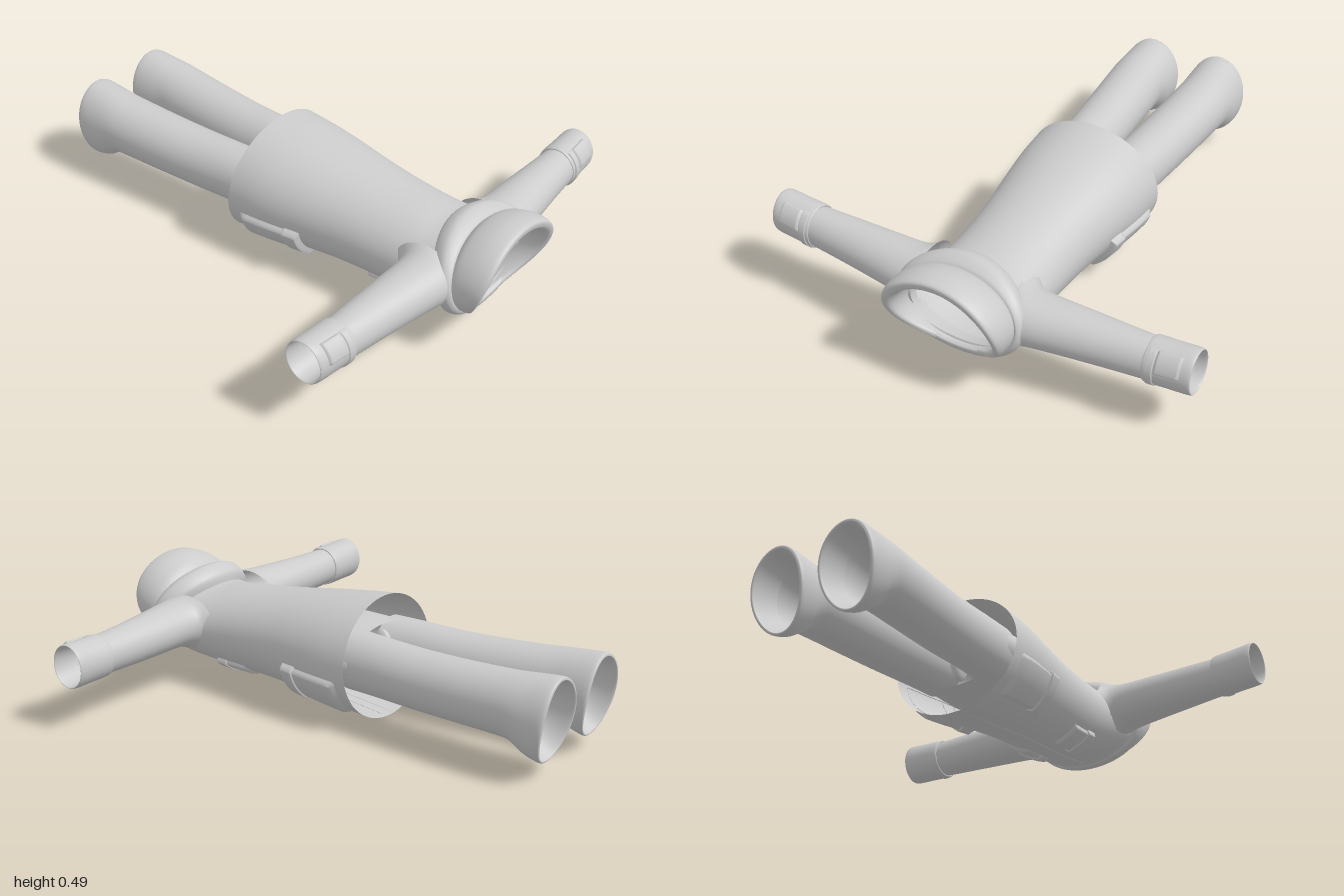
import * as THREE from 'three';

const material = new THREE.MeshStandardMaterial({ color: 0xcccccc, side: THREE.DoubleSide });

// A ring is [along at top, along at bottom, yTop, yBottom, side min, side max, bulge along at the sides].
function ringAt(rings, t) {
  const f = t * (rings.length - 1);
  const i = Math.min(Math.floor(f), rings.length - 2);
  const w = f - i;
  const at = (k) => rings[Math.max(0, Math.min(rings.length - 1, k))];
  return rings[i].map((b, n) => {
    const a = at(i - 1)[n], c = at(i + 1)[n], d = at(i + 2)[n];
    return b + 0.5 * w * (c - a + w * (2 * a - 5 * b + 4 * c - d + w * (3 * (b - c) + d - a)));
  });
}

// Point on a tube; angle 0 is the top, grow pushes it outwards.
function tubePoint(rings, t, angle, grow = 0) {
  const [aT, aB, yT, yB, sA, sB, bulge] = ringAt(rings, t);
  const c = Math.cos(angle), s = Math.sin(angle);
  return {
    along: (aT + aB) / 2 + ((aT - aB) / 2) * c + bulge * s * s,
    y: (yT + yB) / 2 + ((yT - yB) / 2 + grow) * c,
    side: (sA + sB) / 2 + ((sB - sA) / 2 + grow) * s,
  };
}
const alongZ = (p) => [p.side, p.y, p.along];
const alongX = (p) => [p.along, p.y, p.side];

// Grid mesh from a point rule; columns may wrap, and cells may be left out.
function gridMesh(name, rows, cols, wrap, point, skip = () => false) {
  const pos = [], index = [];
  const n = wrap ? cols : cols + 1;
  for (let i = 0; i <= rows; i++) for (let j = 0; j < n; j++) pos.push(...point(i / rows, j / cols));
  for (let i = 0; i < rows; i++) {
    for (let j = 0; j < cols; j++) {
      if (skip(point((i + 0.5) / rows, (j + 0.5) / cols))) continue;
      const a = i * n + j, b = i * n + ((j + 1) % n), c = a + n, d = b + n;
      index.push(a, b, c, b, d, c);
    }
  }
  const geometry = new THREE.BufferGeometry();
  geometry.setAttribute('position', new THREE.Float32BufferAttribute(pos, 3));
  geometry.setIndex(index);
  geometry.computeVertexNormals();
  const mesh = new THREE.Mesh(geometry, material);
  mesh.name = name;
  return mesh;
}

const loft = (name, rings, map = alongZ, skip) => gridMesh(name, (rings.length - 1) * 8, 64, true,
  (u, v) => map(tubePoint(rings, u, v * Math.PI * 2)), skip);

// Raised patch on a tube, falling back to the surface at its borders.
function patch(name, rings, [t0, t1], [a0, a1], height, map = alongZ) {
  const edge = (x) => Math.min(1, Math.min(x, 1 - x) * 12);
  return gridMesh(name, 24, 24, false, (u, v) => map(tubePoint(
    rings, t0 + (t1 - t0) * u, THREE.MathUtils.degToRad(a0 + (a1 - a0) * v),
    height * Math.min(edge(u), edge(v)) - 0.002)));
}

const sym = (aT, aB, yT, yB, w, bulge = 0) => [aT, aB, yT, yB, -w, w, bulge];

const torso = [
  sym(-0.13, -0.16, 0.485, 0.002, 0.285),
  sym(0.0, 0.0, 0.472, 0.02, 0.277),
  sym(0.15, 0.15, 0.453, 0.038, 0.257),
  sym(0.3, 0.3, 0.432, 0.052, 0.235),
  sym(0.45, 0.45, 0.413, 0.06, 0.223),
  sym(0.58, 0.6, 0.4, 0.066, 0.22),
  sym(0.66, 0.75, 0.39, 0.083, 0.23, 0.02),
  sym(0.71, 0.86, 0.39, 0.11, 0.235, 0.04),
];

// Rolled collar, then the upright hood with its turned-in lining
const collar = [
  sym(0.7, 0.81, 0.385, 0.1, 0.225, 0.05),
  sym(0.71, 0.83, 0.43, 0.09, 0.257, 0.05),
  sym(0.76, 0.87, 0.46, 0.1, 0.265, 0.04),
  sym(0.81, 0.88, 0.445, 0.125, 0.25, 0.03),
  sym(0.83, 0.87, 0.42, 0.135, 0.235, 0.02),
];
const hood = [
  sym(0.81, 0.85, 0.42, 0.135, 0.23, 0.02),
  sym(0.85, 0.86, 0.462, 0.115, 0.242, 0.02),
  sym(0.92, 0.87, 0.487, 0.108, 0.244, 0.03),
  sym(0.985, 0.87, 0.487, 0.11, 0.238, 0.04),
  sym(1.0, 0.87, 0.47, 0.118, 0.225, 0.045),
  sym(0.98, 0.86, 0.442, 0.128, 0.203, 0.04),
  sym(0.88, 0.83, 0.425, 0.12, 0.2, 0.03),
  sym(0.72, 0.78, 0.39, 0.1, 0.21, 0.03),
];

// Trouser leg from the crotch to the flared hem, turned in at the end
const leg = [
  [-0.08, -0.08, 0.365, 0.13, 0.0, 0.232, 0],
  [-0.2, -0.2, 0.362, 0.13, 0.014, 0.237, 0],
  [-0.4, -0.4, 0.355, 0.125, 0.02, 0.25, 0],
  [-0.6, -0.6, 0.359, 0.125, 0.029, 0.266, 0],
  [-0.76, -0.76, 0.367, 0.125, 0.036, 0.278, 0],
  [-0.84, -0.83, 0.374, 0.118, 0.04, 0.282, 0],
  [-0.91, -0.89, 0.381, 0.078, 0.034, 0.285, 0],
  [-0.985, -0.94, 0.387, 0.06, 0.032, 0.284, -0.01],
  [-1.0, -0.95, 0.38, 0.066, 0.04, 0.274, -0.015],
  [-0.985, -0.935, 0.37, 0.075, 0.05, 0.265, -0.015],
  [-0.88, -0.86, 0.362, 0.12, 0.055, 0.262, 0],
];

// One arm; rise is the lift towards the wrist.
function makeArm(side, rise) {
  const ring = (x, yT, yB, zA, zB) => {
    const lift = rise * (0.2 + x);
    return [side * x, side * x, yT + lift, yB + lift, zA, zB, 0];
  };
  const arm = new THREE.Group();
  arm.name = side > 0 ? 'leftArm' : 'rightArm';
  const sleeve = [
    ring(0.19, 0.372, 0.145, 0.59, 0.87), ring(0.225, 0.365, 0.16, 0.628, 0.87),
    ring(0.28, 0.358, 0.17, 0.64, 0.862), ring(0.4, 0.35, 0.172, 0.642, 0.842),
    ring(0.55, 0.341, 0.174, 0.645, 0.82), ring(0.72, 0.333, 0.178, 0.65, 0.8),
  ];
  const cuff = [
    ring(0.695, 0.333, 0.179, 0.651, 0.799), ring(0.7, 0.341, 0.17, 0.641, 0.808),
    ring(0.78, 0.343, 0.17, 0.639, 0.802), ring(0.855, 0.346, 0.17, 0.638, 0.795),
    ring(0.857, 0.338, 0.178, 0.646, 0.787), ring(0.76, 0.328, 0.185, 0.655, 0.79),
  ];
  arm.add(loft('sleeve', sleeve, alongX), loft('cuff', cuff, alongX));
  arm.add(patch('cuffStrap', cuff, [0.22, 0.3], [20, 160], 0.006, alongX));
  arm.add(patch('cuffTab', cuff, [0.3, 0.52], [25, 85], 0.01, alongX));
  return arm;
}

export function createModel() {
  const model = new THREE.Group();
  model.name = 'jacketAndTrousers';

  // Jacket body, collar and hood with open armholes
  const inArmhole = ([x, y, z]) => Math.abs(x) > 0.12 && z < 0.82
    && Math.hypot((z - 0.735) / 0.1, (y - 0.265) / 0.085) < 1;
  model.add(loft('jacketBody', torso, alongZ, inArmhole));
  model.add(loft('collarRoll', collar), loft('hood', hood, alongZ, inArmhole));

  // Front closure and pockets
  model.add(patch('frontPlacket', torso, [0.003, 0.95], [175, 185], 0.004));
  for (const side of [1, -1]) {
    const name = side > 0 ? 'left' : 'right';
    model.add(patch(name + 'HipPocket', torso, [0.06, 0.31], [side * 100, side * 144], 0.02));
    model.add(patch(name + 'HipPocketFlap', torso, [0.25, 0.315], [side * 98, side * 146], 0.027));
    model.add(patch(name + 'ChestPocket', torso, [0.57, 0.7], [side * 130, side * 164], 0.015));
    model.add(patch(name + 'ChestPocketFlap', torso, [0.66, 0.71], [side * 128, side * 166], 0.02));
  }

  // Arms, the right one held slightly higher
  model.add(makeArm(1, 0), makeArm(-1, 0.047));

  // Trousers
  model.add(loft('trouserHips', [
    sym(-0.12, -0.13, 0.367, 0.128, 0.236), sym(-0.03, -0.03, 0.375, 0.12, 0.24),
    sym(0.1, 0.1, 0.38, 0.11, 0.235),
  ]));
  for (const side of [1, -1]) {
    model.add(loft(side > 0 ? 'leftLeg' : 'rightLeg', leg, (p) => [side * p.side, p.y, p.along]));
  }
  const crotch = new THREE.Mesh(new THREE.SphereGeometry(1, 24, 16), material);
  crotch.name = 'crotch';
  crotch.scale.set(0.03, 0.1, 0.05);
  crotch.position.set(0, 0.248, -0.12);
  model.add(crotch);
  return model;
}
